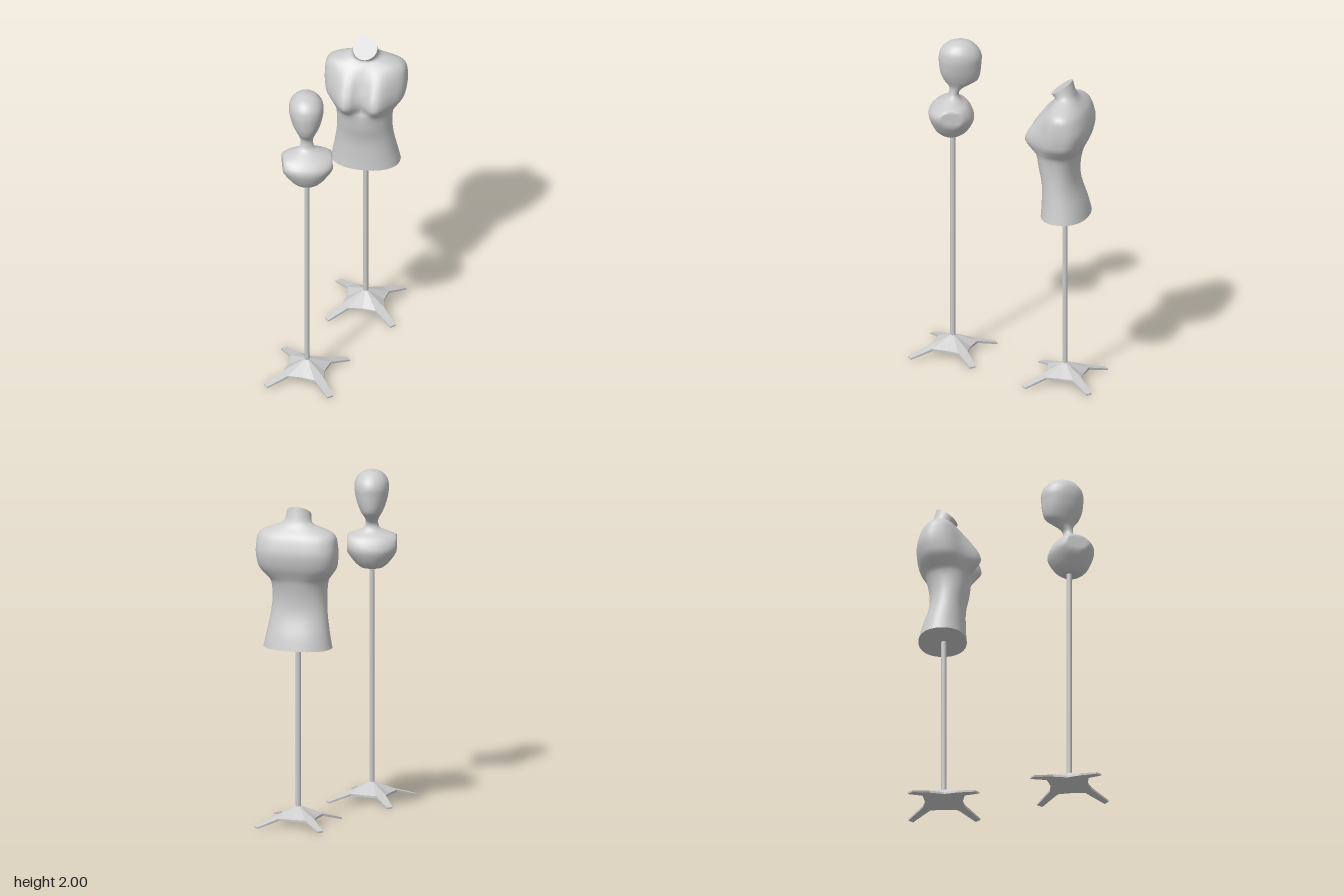
import * as THREE from 'three';

const grey = new THREE.MeshStandardMaterial({ color: 0xcccccc });
const greyFlat = new THREE.MeshStandardMaterial({ color: 0xcccccc, flatShading: true });

// Catmull-Rom subdivision of section rows
function refine(rows, steps) {
  const out = [];
  const at = i => rows[Math.max(0, Math.min(rows.length - 1, i))];
  for (let i = 0; i < rows.length - 1; i++) {
    for (let s = 0; s < steps; s++) {
      const t = s / steps;
      out.push(rows[i].map((b, k) => {
        const a = at(i - 1)[k], c = at(i + 1)[k], d = at(i + 2)[k];
        return b + 0.5 * t * (c - a + t * (2 * a - 5 * b + 4 * c - d + t * (3 * (b - c) + d - a)));
      }));
    }
  }
  out.push(rows[rows.length - 1]);
  return out;
}

// Skin through horizontal rings, with sharp-edged caps at both ends
function loft(rows, pointAt, n = 48) {
  const pos = [], idx = [];
  const rings = rows.map(r => Array.from({ length: n }, (_, j) => pointAt(r, (j / n) * Math.PI * 2)));
  rings.forEach(ring => ring.forEach(p => pos.push(...p)));
  for (let i = 0; i < rings.length - 1; i++) {
    for (let j = 0; j < n; j++) {
      const a = i * n + j, b = i * n + (j + 1) % n;
      idx.push(a, a + n, b, b, a + n, b + n);
    }
  }
  [rings[0], rings[rings.length - 1]].forEach((ring, top) => {
    const start = pos.length / 3;
    ring.forEach(p => pos.push(...p));
    pos.push(...[0, 1, 2].map(k => ring.reduce((s, p) => s + p[k], 0) / n));
    for (let j = 0; j < n; j++) {
      const a = start + j, b = start + (j + 1) % n;
      idx.push(start + n, top ? b : a, top ? a : b);
    }
  });
  const g = new THREE.BufferGeometry();
  g.setAttribute('position', new THREE.Float32BufferAttribute(pos, 3));
  g.setIndex(idx);
  g.computeVertexNormals();
  return g;
}

const spow = (v, e) => Math.sign(v) * Math.pow(Math.abs(v), e);

// Superellipse with separate back and front extents: [y, halfWidth, back, front, exponent]
function outline([y, w, back, front, n], a) {
  const mid = (back + front) / 2, d = (front - back) / 2;
  return [w * spow(Math.cos(a), 2 / n), y, mid + d * spow(Math.sin(a), 2 / n)];
}

// Dress-form torso: [y, halfWidth, back, front, exponent, chest bulge, tilt]
function torsoGeometry() {
  const rows = [
    [1.07, 0.206, -0.15, 0.135, 2.2, 0, 0],
    [1.15, 0.19, -0.13, 0.13, 2.2, 0, 0],
    [1.27, 0.17, -0.09, 0.13, 2.2, 0, 0],
    [1.37, 0.163, -0.085, 0.15, 2.2, 0, 0],
    [1.46, 0.17, -0.1, 0.155, 2.3, 0.01, 0],
    [1.5, 0.195, -0.115, 0.13, 2.5, 0.06, 0],
    [1.55, 0.23, -0.14, 0.125, 2.7, 0.1, 0],
    [1.6, 0.241, -0.155, 0.12, 2.8, 0.095, 0],
    [1.65, 0.245, -0.16, 0.11, 2.8, 0.07, 0],
    [1.7, 0.243, -0.15, 0.1, 2.7, 0.04, 0],
    [1.745, 0.235, -0.133, 0.085, 2.5, 0.015, 0],
    [1.775, 0.205, -0.11, 0.07, 2.3, 0, 0],
    [1.8, 0.14, -0.085, 0.055, 2.1, 0, 0.05],
    [1.825, 0.085, -0.066, 0.055, 2, 0, 0.25],
    [1.875, 0.073, -0.045, 0.08, 2, 0, 0.72],
  ];
  return loft(refine(rows, 3), (r, a) => {
    const p = outline(r, a);
    const side = (Math.abs(p[0]) - 0.09) / 0.075;
    p[2] += r[5] * Math.max(0, Math.sin(a)) ** 0.5 * Math.exp(-side * side);
    p[1] -= r[6] * (p[2] - (r[2] + r[3]) / 2);
    return p;
  }, 64);
}

// Head-and-shoulders bust, sides cut flat at the arms
function bustGeometry() {
  const rows = [
    [1.4, 0.065, -0.07, 0.05, 2],
    [1.43, 0.1, -0.105, 0.09, 2],
    [1.5, 0.15, -0.138, 0.125, 2.1],
    [1.55, 0.168, -0.14, 0.115, 2.2],
    [1.59, 0.155, -0.105, 0.09, 2.1],
    [1.615, 0.1, -0.072, 0.06, 2],
    [1.64, 0.05, -0.035, 0.04, 2],
    [1.67, 0.037, -0.022, 0.037, 2],
    [1.7, 0.04, -0.022, 0.065, 2],
    [1.725, 0.052, -0.035, 0.11, 2],
    [1.75, 0.065, -0.055, 0.148, 2],
    [1.8, 0.085, -0.075, 0.163, 2],
    [1.86, 0.099, -0.083, 0.168, 2],
    [1.9, 0.102, -0.083, 0.17, 2],
    [1.94, 0.095, -0.072, 0.155, 2],
    [1.975, 0.07, -0.04, 0.122, 2],
    [1.993, 0.038, 0, 0.088, 2],
    [2, 0.002, 0.042, 0.046, 2],
  ];
  return loft(refine(rows, 3), (r, a) => {
    const p = outline(r, a);
    p[0] = Math.max(-0.145, Math.min(0.145, p[0]));
    return p;
  });
}

// Four-legged foot: thin folded star with narrow legs
function starBaseGeometry() {
  const rim = [];
  const add = (r, s, angle, top, bottom) => {
    const c = Math.cos(angle), d = Math.sin(angle);
    rim.push({ x: r * c - s * d, z: r * d + s * c, top, bottom });
  };
  for (let k = 0; k < 4; k++) {
    const a = Math.PI / 4 + k * Math.PI / 2;
    add(0.145, -0.03, a, 0.05, 0.036);
    add(0.28, -0.019, a, 0.01, 0);
    add(0.28, 0.019, a, 0.01, 0);
    add(0.145, 0.03, a, 0.05, 0.036);
    add(0.11, 0, a + Math.PI / 4, 0.045, 0.033);
  }
  const pos = [];
  const up = p => [p.x, p.top, p.z], low = p => [p.x, p.bottom, p.z];
  const tri = (...pts) => pts.forEach(p => pos.push(...p));
  rim.forEach((p, i) => {
    const q = rim[(i + 1) % rim.length];
    tri(low(p), up(p), low(q));
    tri(low(q), up(p), up(q));
    const part = i % 5;
    if (part === 0) {
      // leg plate, plus its share of the hub
      const [a, b, c, d] = [0, 1, 2, 3].map(n => rim[i + n]);
      tri(up(a), up(c), up(b));
      tri(up(a), up(d), up(c));
      tri(low(a), low(b), low(c));
      tri(low(a), low(c), low(d));
      tri([0, 0.115, 0], up(d), up(a));
      tri([0, 0.045, 0], low(a), low(d));
    } else if (part > 2) {
      tri([0, 0.115, 0], up(q), up(p));
      tri([0, 0.045, 0], low(p), low(q));
    }
  });
  const g = new THREE.BufferGeometry();
  g.setAttribute('position', new THREE.Float32BufferAttribute(pos, 3));
  g.computeVertexNormals();
  return g;
}

function mesh(name, geometry, material = grey) {
  const m = new THREE.Mesh(geometry, material);
  m.name = name;
  return m;
}

// Pole and foot carrying one display form
function stand(name, poleTop, form) {
  const g = new THREE.Group();
  g.name = name;
  const pole = mesh('pole', new THREE.CylinderGeometry(0.016, 0.016, poleTop - 0.08, 12));
  pole.position.y = (poleTop + 0.08) / 2;
  g.add(mesh('starBase', starBaseGeometry(), greyFlat), pole, form);
  return g;
}

export function createModel() {
  const model = new THREE.Group();
  model.name = 'displayForms';

  const torso = stand('torsoStand', 1.08, mesh('torso', torsoGeometry()));
  torso.position.set(0.055, 0, -0.372);
  torso.rotation.y = 0.1;

  // the bust looks towards the back, slightly turned
  const bust = mesh('bust', bustGeometry());
  bust.rotation.y = Math.PI + 0.37;
  const bustStand = stand('bustStand', 1.42, bust);
  bustStand.position.set(-0.09, 0, 0.387);

  model.add(torso, bustStand);
  return model;
}
